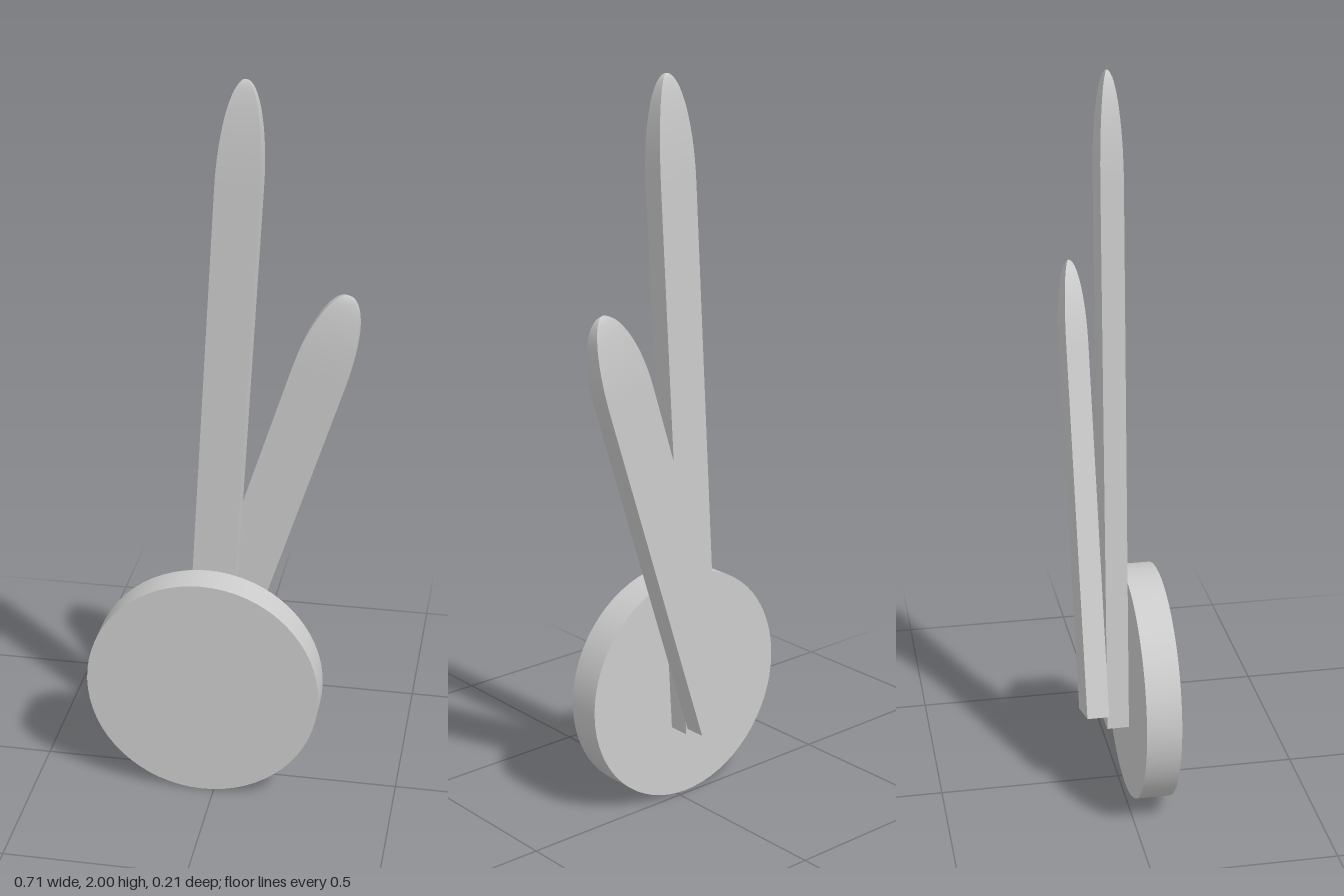
import * as THREE from 'three';

const material = new THREE.MeshStandardMaterial({ color: 0xcccccc });

// Square bar from base to tip, its end narrowing elliptically to a point
function makeHand(name, base, tip, width, depth, z, tipLength) {
  const dx = tip[0] - base[0], dy = tip[1] - base[1];
  const length = Math.hypot(dx, dy);
  const rows = 16;
  const geometry = new THREE.BoxGeometry(width, rows, depth, 1, rows, 1);
  const pos = geometry.attributes.position;
  for (let i = 0; i < pos.count; i++) {
    const row = Math.round(pos.getY(i) + rows / 2);
    // row 0 is the butt end, rows 1 to 16 follow the rounded point
    const a = row === 0 ? 0 : ((row - 1) / (rows - 1)) * Math.PI / 2;
    const y = row === 0 ? 0 : length - tipLength + tipLength * Math.sin(a);
    const s = Math.max(Math.cos(a), 0.01);
    pos.setXYZ(i, pos.getX(i) * s, y, pos.getZ(i) * s);
  }
  geometry.computeVertexNormals();
  const hand = new THREE.Mesh(geometry, material);
  hand.name = name;
  hand.position.set(base[0], base[1], z);
  hand.rotation.z = -Math.atan2(dx, dy);
  return hand;
}

export function createModel() {
  const group = new THREE.Group();
  group.name = 'clockHands';

  // Round hub cap in front
  const hub = new THREE.Mesh(new THREE.CylinderGeometry(0.322, 0.322, 0.094, 64), material);
  hub.name = 'hubDisc';
  hub.rotation.x = Math.PI / 2;
  hub.position.set(-0.033, 0.325, 0.059);
  group.add(hub);

  // Long hand directly behind the hub, short hand behind that
  group.add(makeHand('minuteHand', [-0.04, 0.213], [0.06, 2.0], 0.117, 0.06, -0.018, 0.28));
  group.add(makeHand('hourHand', [-0.057, 0.247], [0.322, 1.432], 0.148, 0.06, -0.078, 0.23));
  return group;
}
